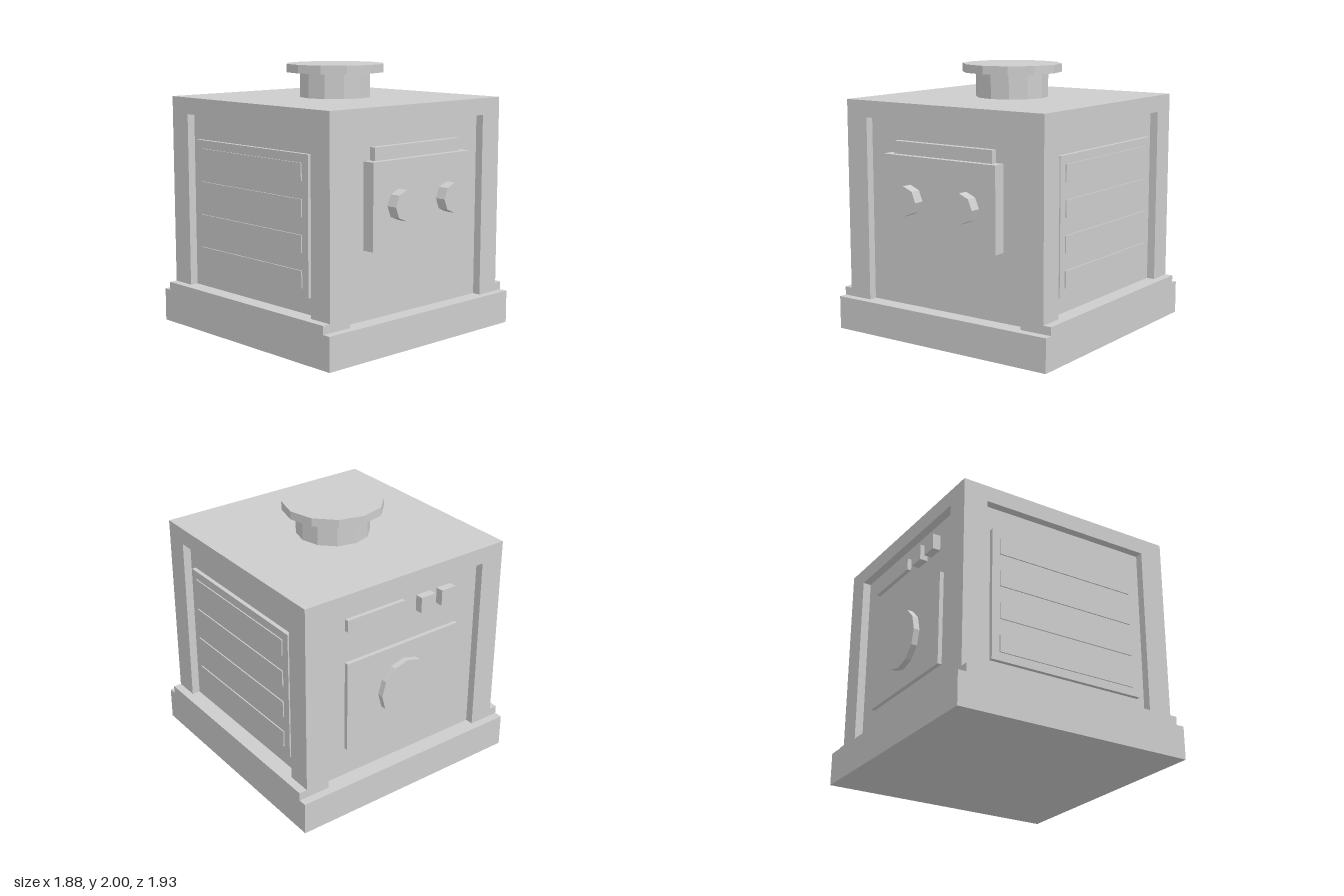
import * as THREE from 'three';

export function createModel() {
  const model = new THREE.Group();
  model.name = 'stove';
  const grey = new THREE.MeshStandardMaterial({ color: 0xcccccc });
  grey.name = 'plain grey';
  grey.flatShading = true;

  // Everything is laid out around the body axis, which sits slightly back
  const body = new THREE.Group();
  body.name = 'body';
  body.position.z = -0.027;
  model.add(body);

  const add = (name, geometry, x, y, z) => {
    const mesh = new THREE.Mesh(geometry, grey);
    mesh.name = name;
    mesh.position.set(x, y, z);
    body.add(mesh);
    return mesh;
  };
  // Box given by its limits on each axis
  const box = (name, x0, x1, y0, y1, z0, z1) =>
    add(name, new THREE.BoxGeometry(x1 - x0, y1 - y0, z1 - z0),
      (x0 + x1) / 2, (y0 + y1) / 2, (z0 + z1) / 2);
  const cylinder = (name, r, h, sides, x, y, z) =>
    add(name, new THREE.CylinderGeometry(r, r, h, sides), x, y, z);

  // Base, recessed core and top slab
  box('base', -0.9375, 0.9375, 0, 0.25, -0.9375, 0.9375);
  box('core', -0.8125, 0.8125, 0.25, 1.63, -0.8125, 0.8125);
  box('topSlab', -0.875, 0.875, 1.625, 1.75, -0.875, 0.875);

  for (const s of [-1, 1]) {
    // Corner pillars
    for (const t of [-1, 1]) {
      add('cornerPillar', new THREE.BoxGeometry(0.1875, 1.375, 0.1875),
        s * 0.78125, 0.9375, t * 0.78125);
    }
    // Side ledge, panel and louvre slats
    add('sideLedge', new THREE.BoxGeometry(0.14, 0.0625, 1.75), s * 0.8675, 0.28125, 0);
    add('sidePanel', new THREE.BoxGeometry(0.0625, 1, 1.25), s * 0.8125, 0.9375, 0);
    for (let i = 0; i < 4; i++) {
      add('louvreSlat', new THREE.BoxGeometry(0.02, 0.125, 1.125),
        s * 0.843, 0.5625 + i * 0.25, 0);
    }
    // Front knobs
    cylinder('knob', 0.111, 0.09, 8, s * 0.25, 1.0625, 0.945).rotation.x = Math.PI / 2;
  }

  // Front control panel
  box('controlPanel', -0.5, 0.5, 0.755, 1.378, 0.8, 0.908);
  box('controlPanelTrim', -0.4375, 0.4375, 1.37, 1.472, 0.8, 0.86);

  // Back hatch, vent disc, bar and two buttons
  box('backHatch', -0.5, 0.5, 0.48, 1.19, -0.844, -0.8);
  cylinder('ventDisc', 0.224, 0.06, 12, 0, 0.845, -0.86).rotation.x = Math.PI / 2;
  box('backBar', 0, 0.5, 1.44, 1.53, -0.844, -0.8);
  for (const x of [-0.25, -0.4375]) {
    box('backButton', x, x + 0.125, 1.4, 1.52, -0.873, -0.8);
  }

  // Chimney and cap
  cylinder('chimney', 0.273, 0.2, 12, 0, 1.845, 0);
  cylinder('chimneyCap', 0.375, 0.0625, 12, 0, 1.96875, 0);

  return model;
}
